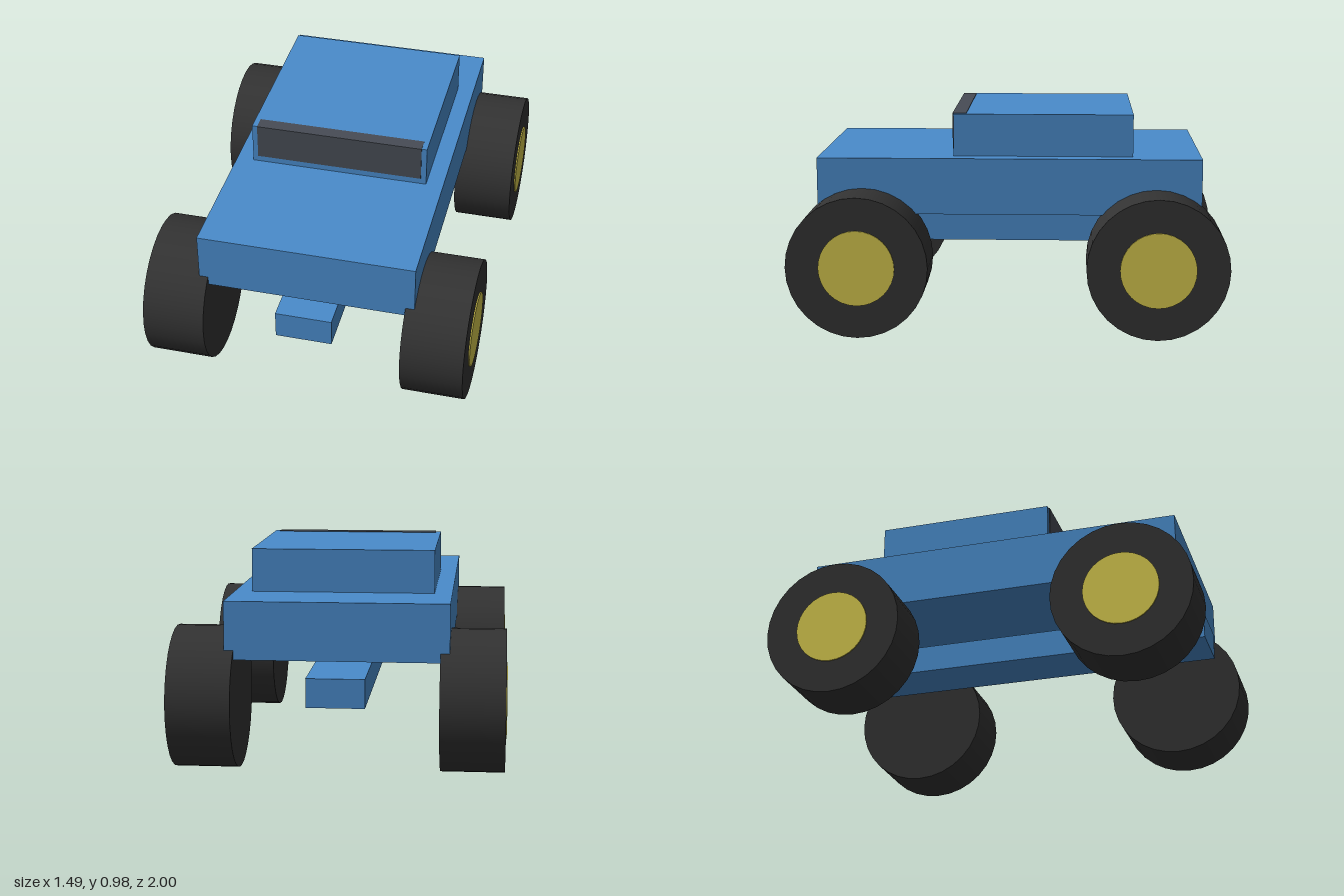
import * as THREE from 'three';

const paint = (color) => new THREE.MeshStandardMaterial({ color });

export function createModel() {
  const model = new THREE.Group();
  model.name = 'toyTruck';
  const blue = paint(0x4a8ccc);
  const rubber = paint(0x333333);
  const yellow = paint(0xd4c64e);
  const glass = paint(0x474c55);

  // Box given by its size and centre
  const addBox = (name, material, size, centre) => {
    const mesh = new THREE.Mesh(new THREE.BoxGeometry(...size), material);
    mesh.name = name;
    mesh.position.set(...centre);
    model.add(mesh);
  };

  addBox('body', blue, [0.99, 0.26, 1.77], [0, 0.655, 0]);
  addBox('cabin', blue, [0.83, 0.2, 0.83], [0, 0.88, -0.155]);
  addBox('chassisRail', blue, [0.26, 0.13, 1.87], [0, 0.393, 0]);

  // Windscreen, set into the cabin and standing just proud of its front and roof
  addBox('windscreen', glass, [0.78, 0.167, 0.064], [0, 0.899, 0.233]);

  // Wheels: tyre plus a hub cap on the outer face
  const tyreGeometry = new THREE.CylinderGeometry(0.322, 0.322, 0.286, 32).rotateZ(Math.PI / 2);
  const hubGeometry = new THREE.CylinderGeometry(0.172, 0.172, 0.03, 32).rotateZ(Math.PI / 2);
  for (const side of [-1, 1]) {
    for (const end of [-1, 1]) {
      const wheel = new THREE.Group();
      wheel.name = `${end > 0 ? 'front' : 'rear'}${side > 0 ? 'Left' : 'Right'}Wheel`;
      const tyre = new THREE.Mesh(tyreGeometry, rubber);
      tyre.name = 'tyre';
      const hub = new THREE.Mesh(hubGeometry, yellow);
      hub.name = 'hubCap';
      hub.position.x = side * 0.134;
      wheel.add(tyre, hub);
      wheel.position.set(side * 0.597, 0.322, end * 0.678);
      model.add(wheel);
    }
  }
  return model;
}
